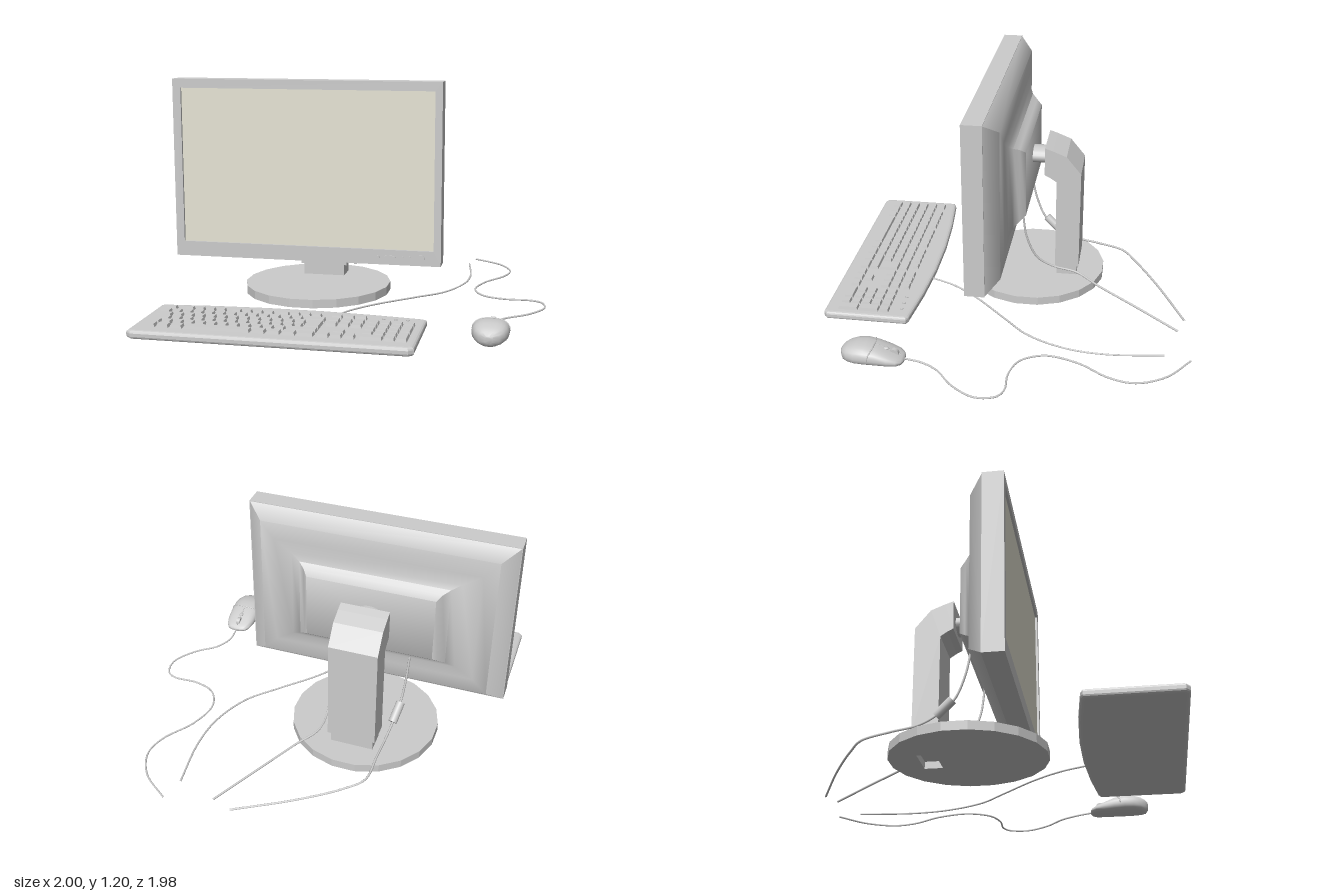
import * as THREE from 'three';
import { toCreasedNormals } from 'three/addons/utils/BufferGeometryUtils.js';

const grey = new THREE.MeshStandardMaterial({ color: 0xcccccc });
const screenMat = new THREE.MeshStandardMaterial({ color: 0xe6e4d4 });

function add(parent, name, geometry, x = 0, y = 0, z = 0, material = grey) {
  const mesh = new THREE.Mesh(geometry, material);
  mesh.name = name;
  mesh.position.set(x, y, z);
  parent.add(mesh);
  return mesh;
}

function group(parent, name) {
  const g = new THREE.Group();
  g.name = name;
  parent.add(g);
  return g;
}

const shapeOf = (pts) => new THREE.Shape(pts.map(([x, y]) => new THREE.Vector2(x, y)));
const rect = (x0, x1, y0, y1) => [[x0, y0], [x1, y0], [x1, y1], [x0, y1]];

// Closed solid through rings of [x, y, z], counter-clockwise seen from +z, ordered back to front
function loft(rings, crease) {
  const n = rings[0].length, last = (rings.length - 1) * n, index = [];
  for (let i = 0; i < rings.length - 1; i++) {
    for (let j = 0; j < n; j++) {
      const a = i * n + j, b = i * n + (j + 1) % n;
      index.push(a, b, b + n, a, b + n, a + n);
    }
  }
  for (let j = 1; j < n - 1; j++) {
    index.push(0, j + 1, j, last, last + j, last + j + 1);
  }
  const g = new THREE.BufferGeometry();
  g.setAttribute('position', new THREE.Float32BufferAttribute(rings.flat(2), 3));
  g.setIndex(index);
  return toCreasedNormals(g, crease);
}

function cable(parent, name, pts, r = 0.005) {
  const curve = new THREE.CatmullRomCurve3(pts.map((p) => new THREE.Vector3(...p)));
  return add(parent, name, new THREE.TubeGeometry(curve, 90, r, 6), 0, 0, 0);
}

function buildMonitor(root) {
  const m = group(root, 'monitor');
  const cx = -0.2725;

  // Bezel frame with a recessed screen
  const frame = shapeOf(rect(-1, 0.455, 0.24, 1.205));
  frame.holes.push(shapeOf(rect(-0.955, 0.417, 0.32, 1.157)));
  add(m, 'bezel', new THREE.ExtrudeGeometry(frame, { depth: 0.108, bevelEnabled: false }), 0, 0, 0.087);
  add(m, 'screen', new THREE.BoxGeometry(1.376, 0.841, 0.08), -0.269, 0.7385, 0.142, screenMat);

  // Stepped back shell: half width, bottom, top, z
  const back = [
    [0.35, 0.54, 0.91, -0.08], [0.375, 0.515, 0.935, -0.05], [0.41, 0.49, 0.955, -0.02],
    [0.46, 0.46, 0.985, 0], [0.56, 0.395, 1.05, 0.006], [0.64, 0.305, 1.14, 0.016], [0.7275, 0.24, 1.205, 0.09],
  ];
  add(m, 'backShell', loft(back.map(([w, y0, y1, z]) =>
    rect(cx - w, cx + w, y0, y1).map(([x, y]) => [x, y, z])), 0.95));

  // Bezel buttons
  const button = (name, x, r, wide = 1) => {
    const g = new THREE.CylinderGeometry(r, r, 0.012, 16).rotateX(Math.PI / 2).scale(wide, 1, 1);
    add(m, name, g, x, 0.28, 0.197);
  };
  for (const x of [0.12, 0.25, 0.29]) button('menuButton', x, 0.009);
  button('rockerButton', 0.182, 0.011, 3);
  button('powerButton', 0.35, 0.021);

  // Pivot barrel and neck
  const pivot = new THREE.CylinderGeometry(0.046, 0.046, 0.12, 20).rotateX(Math.PI / 2).scale(1.55, 1, 1);
  add(m, 'pivot', pivot, cx, 0.757, -0.12);
  const profile = shapeOf([[0.155, 0.685], [0.185, 0.67], [0.222, 0.645], [0.222, 0.12], [0.357, 0.12],
    [0.357, 0.7], [0.275, 0.8], [0.2, 0.83], [0.155, 0.845]]);
  const neck = new THREE.ExtrudeGeometry(profile, { depth: 0.265, bevelEnabled: false }).rotateY(Math.PI / 2);
  add(m, 'neck', neck, -0.405);
  add(m, 'neckFoot', new THREE.BoxGeometry(0.235, 0.08, 0.115), cx, 0.09, -0.287);

  // Round base with a slot underneath
  const disc = [];
  for (let i = 0; i < 20; i++) {
    const a = (i + 0.5) * Math.PI / 10;
    disc.push([cx + 0.407 * Math.cos(a), 0.09 + 0.405 * Math.sin(a)]);
  }
  const baseShape = shapeOf(disc);
  baseShape.holes.push(shapeOf(rect(-0.37, -0.175, 0.24, 0.335)));
  const base = new THREE.ExtrudeGeometry(baseShape, { depth: 0.046, bevelEnabled: false }).rotateX(-Math.PI / 2);
  add(m, 'base', base, 0, 0.012, 0);

  // Video and power leads
  cable(m, 'videoCable', [[-0.495, 0.5, -0.045], [-0.49, 0.37, -0.075], [-0.48, 0.25, -0.13], [-0.465, 0.17, -0.235],
    [-0.455, 0.135, -0.32], [-0.445, 0.115, -0.45], [-0.43, 0.085, -0.6], [-0.34, 0.065, -0.68],
    [-0.13, 0.04, -0.81], [0.18, 0.012, -0.965]], 0.006);
  const plug = add(m, 'cablePlug', new THREE.CylinderGeometry(0.024, 0.024, 0.115, 12), -0.473, 0.213, -0.18);
  plug.quaternion.setFromUnitVectors(new THREE.Vector3(0, 1, 0), new THREE.Vector3(-0.15, 0.65, 0.75).normalize());
  cable(m, 'powerCable', [[-0.055, 0.5, -0.045], [-0.06, 0.33, -0.07], [-0.075, 0.2, -0.13], [-0.092, 0.14, -0.22],
    [-0.085, 0.115, -0.35], [0.005, 0.09, -0.48], [0.14, 0.055, -0.695], [0.29, 0.015, -0.93]], 0.006);
}

function buildKeyboard(root) {
  const k = group(root, 'keyboard');

  // Body with a bowed back edge and sloped rim
  const outline = shapeOf([[-0.94, -0.985], [0.405, -0.985], [0.43, -0.965], [0.43, -0.525], [0.405, -0.513],
    [0.15, -0.486], [-0.12, -0.47], [-0.4, -0.47], [-0.68, -0.486], [-0.94, -0.513], [-0.965, -0.525], [-0.965, -0.965]]);
  const body = new THREE.ExtrudeGeometry(outline, {
    depth: 0.016, bevelThickness: 0.014, bevelSize: 0.02, bevelOffset: -0.02, bevelSegments: 3,
  }).rotateX(-Math.PI / 2);
  add(k, 'keyboardBody', body, 0, 0.024, 0);

  // Tapered key cap
  const key = (x0, x1, z0, z1) => {
    const g = new THREE.BoxGeometry(x1 - x0 - 0.007, 0.022, z1 - z0 - 0.007);
    const p = g.attributes.position;
    for (let i = 0; i < p.count; i++) {
      if (p.getY(i) > 0) p.setXYZ(i, p.getX(i) - Math.sign(p.getX(i)) * 0.005, p.getY(i), p.getZ(i) - Math.sign(p.getZ(i)) * 0.005);
    }
    g.computeVertexNormals();
    add(k, 'key', g, (x0 + x1) / 2, 0.059, (z0 + z1) / 2);
  };
  // Row of keys by relative width; a negative width is a gap
  const row = (x0, x1, z, widths, depth = 0.0575) => {
    const unit = (x1 - x0) / widths.reduce((s, w) => s + Math.abs(w), 0);
    let x = x0;
    for (const w of widths) {
      if (w > 0) key(x, x + w * unit, z, z + depth);
      x += Math.abs(w) * unit;
    }
  };
  const z = (i) => 0.627 + 0.0575 * i;
  const ones = (n) => Array(n).fill(1);
  const main = [
    [...ones(13), 2],
    [1.5, ...ones(12), -1.5],
    [1.75, ...ones(11), 0.75, -1.5],
    [1.25, ...ones(11), 2.75],
    [1.25, 1.2, 1.2, 5.9, 1.3, 1.3, 1.3, 1.55],
  ];
  const nav = [[1, 1, 1], [1, 1, 1], [], [-1, 1, -1], [1, 1, 1]];
  const pad = [[1, 1, 1, 1], [1, 1, 1, -1], [1, 1, 1, -1], [1, 1, 1, -1], [2, 1, -1]];
  for (let i = 0; i < 5; i++) {
    row(-0.912, -0.053, z(i), main[i]);
    row(-0.042, 0.144, z(i), nav[i]);
    row(0.158, 0.392, z(i), pad[i]);
  }
  key(-0.138, -0.053, z(1), z(3));
  key(0.3335, 0.392, z(1), z(3));
  key(0.3335, 0.392, z(3), z(5));
  row(-0.912, -0.846, 0.568, [1], 0.042);
  for (const x of [-0.81, -0.56, -0.31]) row(x, x + 0.225, 0.568, ones(4), 0.042);
  row(-0.042, 0.144, 0.568, ones(3), 0.042);

  // Status lights
  for (const x of [0.22, 0.28, 0.34]) {
    add(k, 'statusLight', new THREE.CylinderGeometry(0.009, 0.009, 0.006, 10), x, 0.056, 0.567);
  }
  cable(k, 'keyboardCable', [[-0.045, 0.032, 0.485], [0.005, 0.026, 0.35], [0.11, 0.022, 0.2], [0.3, 0.018, 0.005],
    [0.435, 0.014, -0.14], [0.525, 0.011, -0.35], [0.545, 0.008, -0.56], [0.51, 0.006, -0.86]]);
}

function buildMouse(root) {
  const m = group(root, 'mouse');
  const cx = 0.753;

  // Rounded body: z, half width, bottom, widest height, top
  const sections = [
    [0.452, 0.03, 0.02, 0.03, 0.036], [0.462, 0.054, 0.014, 0.03, 0.044], [0.485, 0.072, 0.01, 0.035, 0.056],
    [0.53, 0.083, 0.01, 0.042, 0.076], [0.59, 0.088, 0.01, 0.05, 0.101], [0.65, 0.091, 0.01, 0.055, 0.113],
    [0.7, 0.087, 0.01, 0.055, 0.109], [0.74, 0.072, 0.01, 0.055, 0.098], [0.765, 0.05, 0.012, 0.055, 0.084],
    [0.78, 0.02, 0.03, 0.055, 0.068],
  ];
  const ring = ([z, w, y0, yc, y1]) => Array.from({ length: 24 }, (_, i) => {
    const a = i * Math.PI / 12, c = Math.cos(a), s = Math.sin(a);
    const x = Math.sign(c) * Math.abs(c) ** 0.75 * w;
    const y = yc + Math.sign(s) * Math.abs(s) ** 0.8 * (s > 0 ? y1 - yc : yc - y0);
    return [cx + x, y, z];
  });
  add(m, 'mouseBody', loft(sections.map(ring), 1));

  // Button seams, scroll wheel and small buttons
  const arch = [];
  for (let i = 0; i <= 12; i++) {
    const a = Math.PI * i / 12, c = Math.cos(a);
    arch.push([cx + 0.091 * Math.sign(c) * Math.abs(c) ** 0.75, 0.052 + 0.053 * Math.sin(a) ** 0.8, 0.604 + 0.022 * c * c]);
  }
  cable(m, 'buttonSeam', arch, 0.003);
  cable(m, 'centreSeam', [[cx, 0.05, 0.472], [cx, 0.076, 0.53], [cx, 0.101, 0.59]], 0.003);
  add(m, 'scrollWheel', new THREE.CylinderGeometry(0.024, 0.024, 0.022, 16).rotateZ(Math.PI / 2), cx, 0.058, 0.505);
  add(m, 'wheelButton', new THREE.SphereGeometry(0.012, 12, 8).scale(1, 0.6, 1.3), cx, 0.082, 0.545);

  cable(m, 'mouseCable', [[0.753, 0.028, 0.46], [0.755, 0.015, 0.37], [0.8, 0.009, 0.28], [0.915, 0.008, 0.18],
    [0.993, 0.008, 0.05], [0.972, 0.008, -0.055], [0.915, 0.008, -0.085], [0.78, 0.008, -0.085], [0.66, 0.008, -0.13],
    [0.6, 0.008, -0.25], [0.64, 0.008, -0.42], [0.745, 0.008, -0.59], [0.77, 0.008, -0.72], [0.7, 0.008, -0.87],
    [0.54, 0.006, -0.995]]);
}

export function createModel() {
  const root = new THREE.Group();
  root.name = 'desktopSet';
  buildMonitor(root);
  buildKeyboard(root);
  buildMouse(root);
  return root;
}
